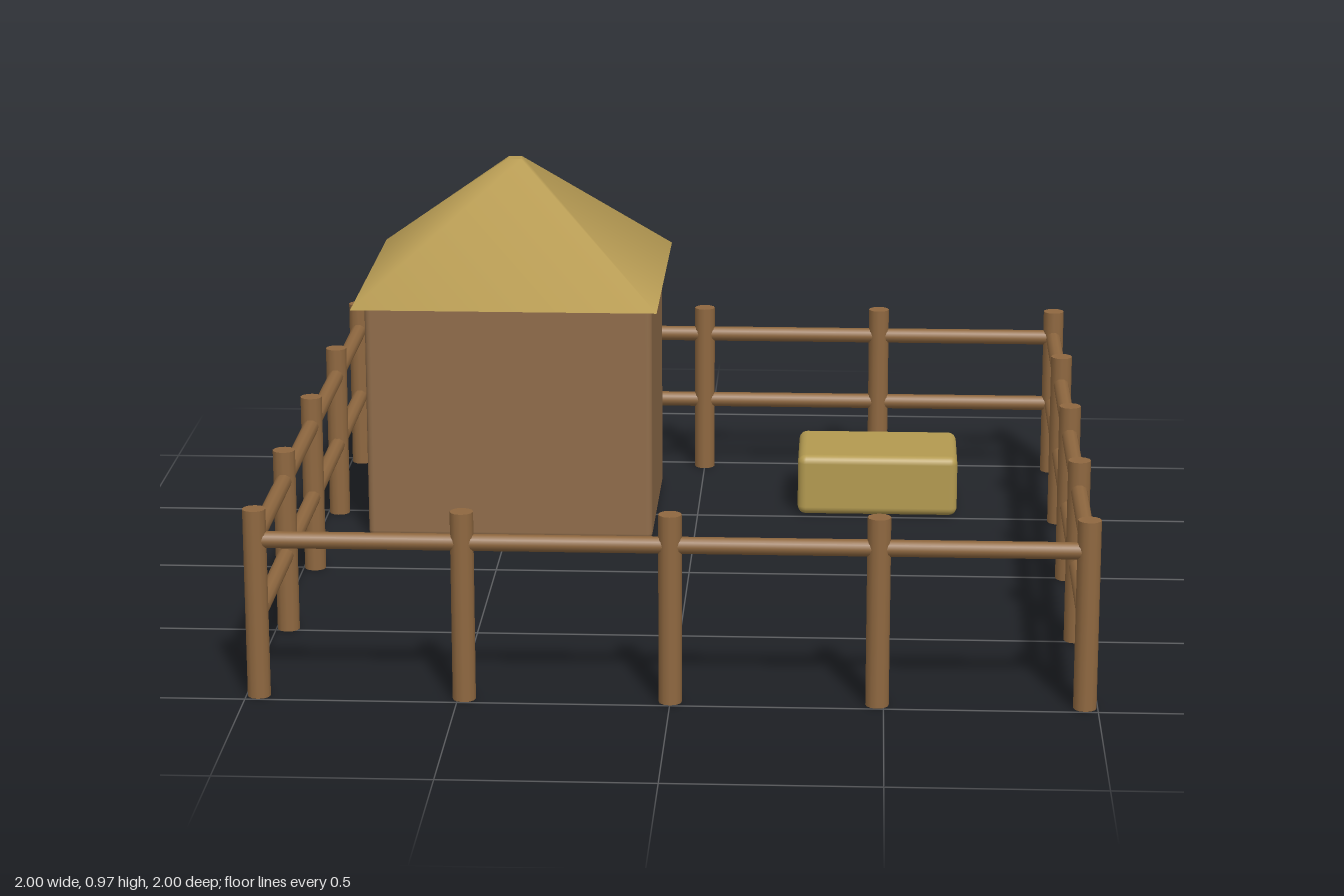
import * as THREE from 'three';
import { RoundedBoxGeometry } from 'three/addons/geometries/RoundedBoxGeometry.js';

const material = (name, color, side = THREE.FrontSide) =>
  Object.assign(new THREE.MeshStandardMaterial({ color, side }), { name });

export function createModel() {
  const wood = material('fence wood', 0x8f6840);
  const wall = material('wall brown', 0x8f6c4a);
  const thatch = material('thatch', 0xb89c54, THREE.DoubleSide);
  const straw = material('straw', 0xb39a50);

  const model = new THREE.Group();
  model.name = 'farmPen';
  const add = (parent, name, geometry, mat, x, y, z) => {
    const mesh = new THREE.Mesh(geometry, mat);
    mesh.name = name;
    mesh.position.set(x, y, z);
    parent.add(mesh);
    return mesh;
  };

  // Fence: posts at even steps round a square
  const fence = new THREE.Group();
  fence.name = 'fence';
  model.add(fence);
  const half = 0.97;
  const steps = [-half, -half / 2, 0, half / 2, half];
  const post = new THREE.CylinderGeometry(0.0275, 0.0275, 0.46, 12);
  for (const x of steps) {
    for (const z of steps) {
      if (Math.max(Math.abs(x), Math.abs(z)) === half) add(fence, 'post', post, wood, x, 0.23, z);
    }
  }

  // Rails: two on each side, only the upper one across the front
  const rail = new THREE.CylinderGeometry(0.02, 0.02, 2 * half, 10).rotateZ(Math.PI / 2);
  for (const y of [0.385, 0.195]) {
    add(fence, 'backRail', rail, wood, 0, y, -half);
    if (y > 0.3) add(fence, 'frontRail', rail, wood, 0, y, half);
    for (const side of [-1, 1]) {
      add(fence, 'sideRail', rail, wood, side * half, y, 0).rotation.y = Math.PI / 2;
    }
  }

  // Hut with softly rounded walls and a hollow thatched roof
  const hut = new THREE.Group();
  hut.name = 'hut';
  model.add(hut);
  add(hut, 'walls', new RoundedBoxGeometry(0.755, 0.65, 0.53, 3, 0.016), wall, -0.4875, 0.325, -0.535);
  const roof = new THREE.CylinderGeometry(0.025, 0.397 * Math.SQRT2, 0.322, 4, 1, true);
  roof.rotateY(Math.PI / 4);
  add(hut, 'roof', roof, thatch, -0.4875, 0.813, -0.5425);
  const cap = new THREE.PlaneGeometry(0.0354, 0.0354).rotateX(-Math.PI / 2);
  add(hut, 'roofTop', cap, thatch, -0.4875, 0.974, -0.5425);

  // Straw bale
  add(model, 'strawBale', new RoundedBoxGeometry(0.43, 0.165, 0.27, 3, 0.022), straw, 0.485, 0.0825, -0.648);

  return model;
}
